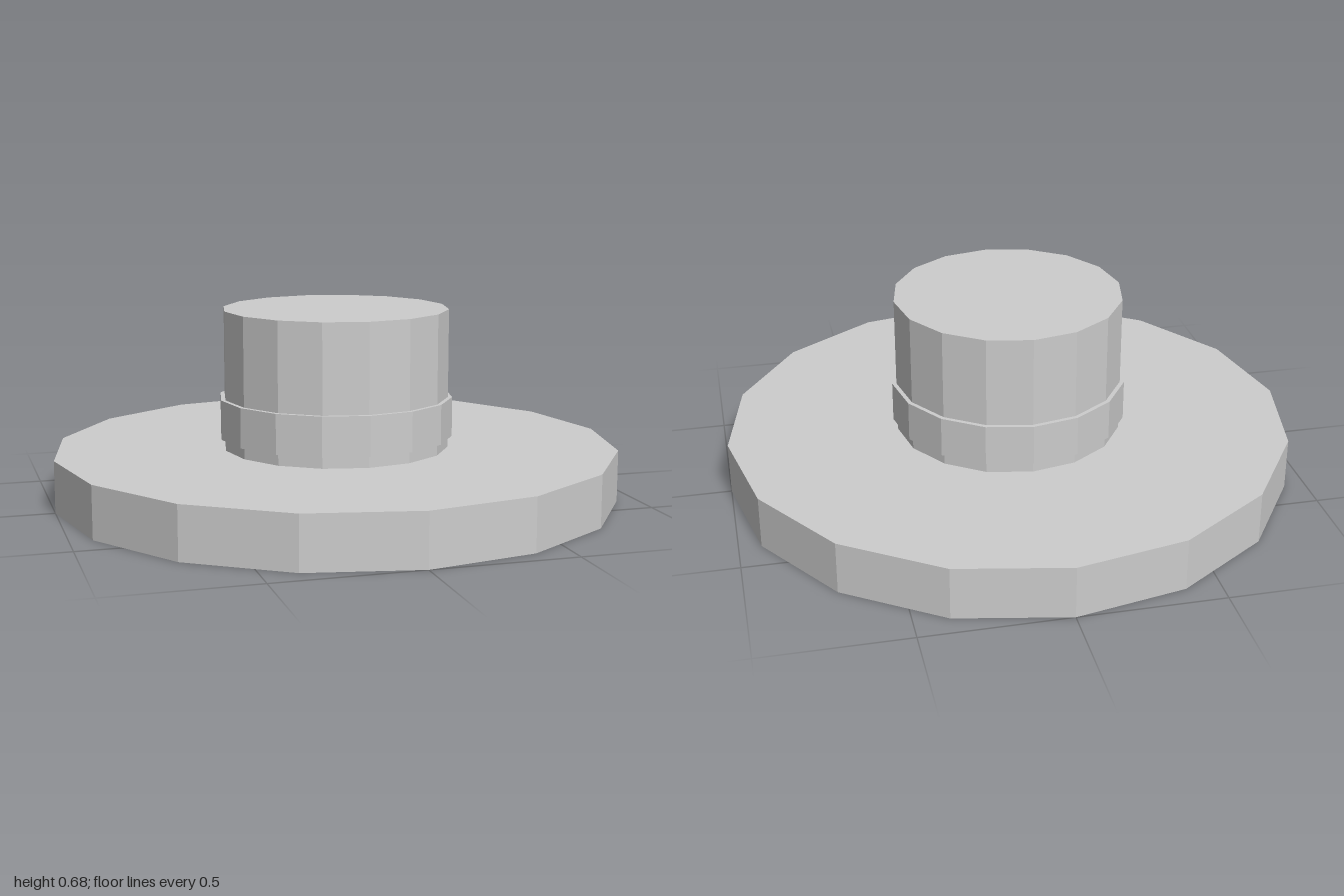
import * as THREE from 'three';

const SIDES = 16;

export function createModel() {
  const model = new THREE.Group();
  model.name = 'topHat';
  const lightGrey = new THREE.MeshStandardMaterial({ color: 0xcccccc, flatShading: true });
  lightGrey.name = 'light grey';

  // Upright faceted disc between two heights
  function addDisc(name, radius, bottom, top) {
    const mesh = new THREE.Mesh(new THREE.CylinderGeometry(radius, radius, top - bottom, SIDES), lightGrey);
    mesh.name = name;
    mesh.position.y = (bottom + top) / 2;
    model.add(mesh);
  }

  addDisc('brim', 1, 0, 0.183);
  addDisc('crown', 0.4, 0.183, 0.675);
  addDisc('hatBand', 0.415, 0.223, 0.363);

  return model;
}
